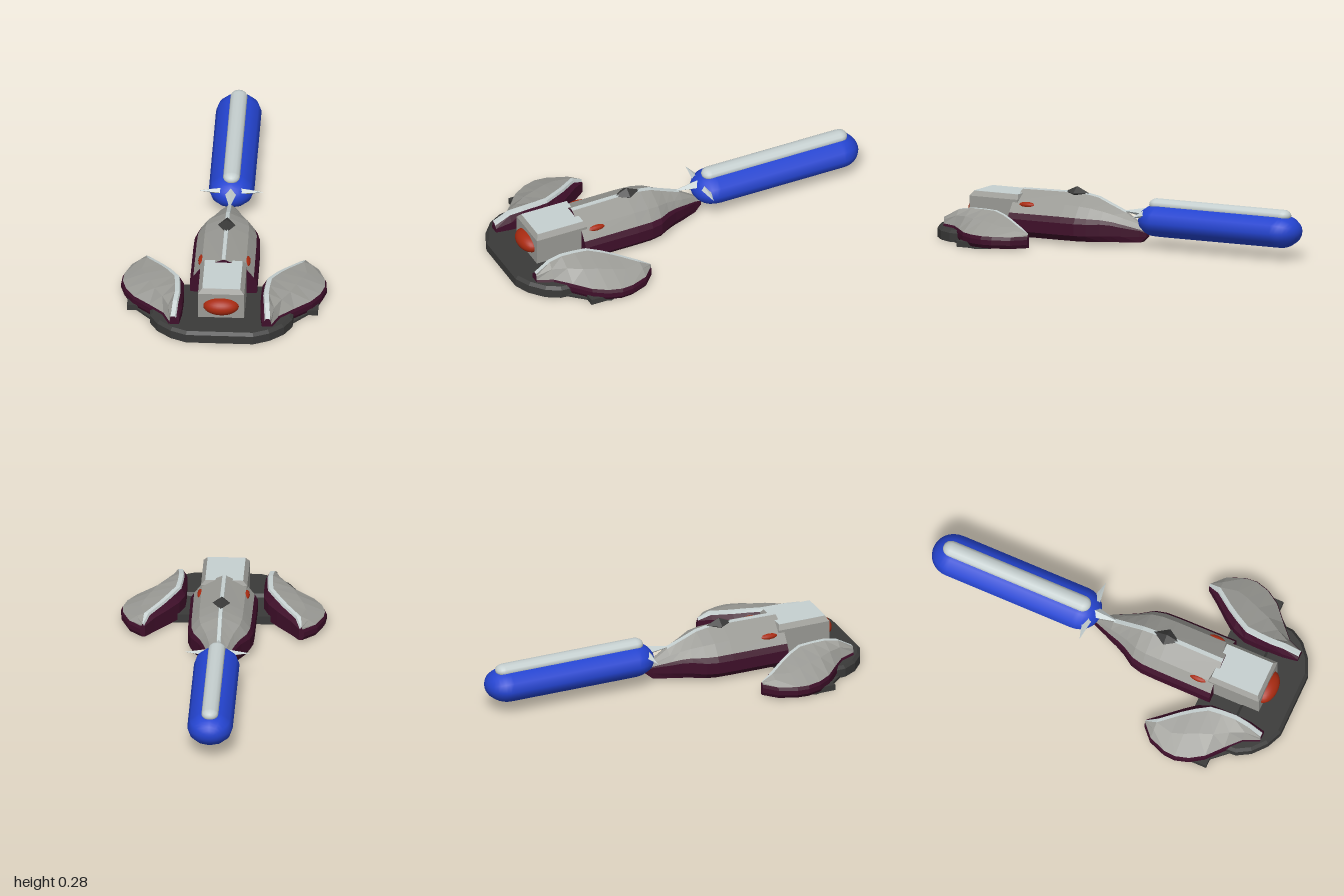
import * as THREE from 'three';

const both = THREE.DoubleSide;
const mats = {
  hullGrey: new THREE.MeshStandardMaterial({ color: 0x9b9b96, side: both }),
  paleTrim: new THREE.MeshStandardMaterial({ color: 0xc6d0d0, side: both }),
  darkPurple: new THREE.MeshStandardMaterial({ color: 0x3f0f2a, side: both }),
  charcoal: new THREE.MeshStandardMaterial({ color: 0x3a3a39, side: both }),
  red: new THREE.MeshStandardMaterial({ color: 0xa82a10 }),
  blue: new THREE.MeshStandardMaterial({ color: 0x2444d0 }),
};

function add(parent, name, geometry, mat, pos = [0, 0, 0], scale = [1, 1, 1]) {
  const m = new THREE.Mesh(geometry, mats[mat]);
  m.name = name;
  m.position.set(...pos);
  m.scale.set(...scale);
  parent.add(m);
  return m;
}

// Faceted skin stretched over rows of equally many points
function loft(rows) {
  const pos = [];
  for (let i = 0; i + 1 < rows.length; i++) {
    for (let j = 0; j + 1 < rows[i].length; j++) {
      const a = rows[i][j], b = rows[i][j + 1], c = rows[i + 1][j + 1], d = rows[i + 1][j];
      pos.push(...a, ...b, ...c, ...a, ...c, ...d);
    }
  }
  const g = new THREE.BufferGeometry();
  g.setAttribute('position', new THREE.Float32BufferAttribute(pos, 3));
  g.computeVertexNormals();
  return g;
}

// Closed horizontal slab from a right-half outline of [x, z], mirrored in x
function slab(half, y0, y1, bevel) {
  const pts = [...half, ...half.slice().reverse().map(([x, z]) => [-x, z])];
  const shape = new THREE.Shape(pts.map(([x, z]) => new THREE.Vector2(x, -z)));
  const g = new THREE.ExtrudeGeometry(shape, {
    depth: y1 - y0 - bevel, bevelEnabled: bevel > 0, bevelThickness: bevel, bevelSize: bevel,
    bevelOffset: -bevel, bevelSegments: 1,
  });
  g.rotateX(-Math.PI / 2);
  g.translate(0, y0, 0);
  // keep the underside flat on the base height
  const p = g.attributes.position;
  for (let i = 0; i < p.count; i++) p.setY(i, Math.max(p.getY(i), y0));
  g.computeVertexNormals();
  return g;
}

function buildBase(group) {
  add(group, 'frontSkirt', slab([[0.17, 0.995], [0.25, 0.96], [0.32, 0.9], [0.36, 0.83], [0.365, 0.75]], 0, 0.06, 0.015), 'charcoal');
  add(group, 'rearDeck', slab([[0.235, 0.76], [0.235, 0.54]], 0, 0.045, 0), 'charcoal');
  add(group, 'underPlate', slab([[0.36, 0.8], [0.46, 0.69], [0.49, 0.61], [0.46, 0.54]], 0, 0.012, 0), 'charcoal');
}

function buildHull(group) {
  // z, half width, top of lower hull, ridge height
  const st = [
    [-0.12, 0.015, 0.07, 0.09], [-0.085, 0.025, 0.08, 0.11], [0, 0.065, 0.095, 0.165],
    [0.05, 0.085, 0.105, 0.185], [0.1, 0.11, 0.11, 0.205], [0.16, 0.15, 0.11, 0.23],
    [0.22, 0.165, 0.11, 0.24], [0.3, 0.168, 0.11, 0.245], [0.6, 0.17, 0.11, 0.24],
  ];
  const lower = st.map(([z, w, yp, yt], i) => {
    const lip = [w * 0.9, yp + (yt - yp) * 0.22], yb = i ? 0.02 : 0.05;
    return [[-lip[0], lip[1], z], [-w, yp, z], [-w, 0.05, z], [-w * 0.85, yb, z],
      [w * 0.85, yb, z], [w, 0.05, z], [w, yp, z], [lip[0], lip[1], z]];
  });
  const upper = st.map(([z, w, yp, yt]) => {
    const y1 = yp + (yt - yp) * 0.22, y2 = yp + (yt - yp) * 0.64;
    return [[-w * 0.9, y1, z], [-w * 0.66, y2, z], [-0.01, yt, z], [0.01, yt, z], [w * 0.66, y2, z], [w * 0.9, y1, z]];
  });
  add(group, 'lowerHull', loft(lower), 'darkPurple');
  add(group, 'upperHull', loft(upper), 'hullGrey');
  // Bulkheads at both ends
  for (const k of [0, st.length - 1]) {
    const ring = [...lower[k], ...upper[k].slice().reverse()];
    add(group, 'hullBulkhead', loft([ring, ring.map(() => [0, 0.08, st[k][0]])]), 'darkPurple');
  }
  // Raised strip along the spine
  const spine = st.slice(2).map(([z, , , y]) => [[-0.011, y, z], [-0.009, y + 0.005, z], [0.009, y + 0.005, z], [0.011, y, z]]);
  add(group, 'spineStrip', loft(spine), 'paleTrim');
  add(group, 'spineCrystal', new THREE.OctahedronGeometry(1), 'charcoal', [0, 0.245, 0.29], [0.045, 0.032, 0.07]);
  for (const s of [-1, 1]) {
    add(group, 'sideLight', new THREE.SphereGeometry(1, 12, 8), 'red', [s * 0.113, 0.178, 0.515], [0.02, 0.016, 0.05]);
  }
}

function buildCockpit(group) {
  const ring = (x, y, z0, z1) => [[-x, y, z0], [x, y, z0], [x, y, z1], [-x, y, z1], [-x, y, z0]];
  add(group, 'cockpitWalls', loft([ring(0.117, 0.05, 0.57, 0.85), ring(0.117, 0.2, 0.57, 0.85), ring(0.096, 0.224, 0.58, 0.835)]), 'hullGrey');
  add(group, 'cockpitRoof', new THREE.BoxGeometry(0.192, 0.004, 0.255), 'paleTrim', [0, 0.223, 0.7075]);
  add(group, 'windscreen', new THREE.SphereGeometry(1, 28, 16), 'red', [0, 0.13, 0.845], [0.091, 0.047, 0.057]);
}

function buildFender(group, s) {
  // z, inner x, ridge x, outer x, ridge height
  const st = [
    [0.35, 0.39, 0.4, 0.415, 0.085], [0.41, 0.345, 0.375, 0.48, 0.115], [0.5, 0.27, 0.305, 0.515, 0.135],
    [0.56, 0.225, 0.265, 0.52, 0.148], [0.63, 0.198, 0.225, 0.5, 0.158], [0.7, 0.196, 0.218, 0.455, 0.16],
    [0.77, 0.196, 0.215, 0.375, 0.16], [0.84, 0.198, 0.222, 0.3, 0.15], [0.92, 0.21, 0.23, 0.265, 0.105],
  ];
  const skirt = st.map(([z, a, r, b, y]) => [
    [s * (r - 0.006), y - 0.012, z], [s * a, 0.06 + (y - 0.06) * 0.5, z], [s * a, 0.012, z],
    [s * (b - 0.012), 0.012, z], [s * b, 0.03, z], [s * b, 0.055, z], [s * (b - 0.008), 0.072, z]]);
  const shell = st.map(([z, a, r, b, y]) => {
    const r2 = Math.min(r + 0.022, b - 0.012), o = b - 0.008;
    return [[s * r2, y, z], [s * (r2 * 0.5 + o * 0.5), 0.072 + (y - 0.072) * 0.62, z], [s * o, 0.072, z]];
  });
  const trim = st.map(([z, a, r, b, y]) => [
    [s * (r - 0.006), y - 0.012, z], [s * r, y, z], [s * Math.min(r + 0.022, b - 0.012), y, z]]);
  const f = new THREE.Group();
  f.name = s > 0 ? 'leftFender' : 'rightFender';
  add(f, 'fenderSkirt', loft(skirt), 'darkPurple');
  add(f, 'fenderShell', loft(shell), 'hullGrey');
  add(f, 'fenderTrim', loft(trim), 'paleTrim');
  for (const k of [0, st.length - 1]) {
    const ring = [...skirt[k], ...shell[k].slice().reverse(), ...trim[k].slice().reverse()];
    add(f, 'fenderEnd', loft([ring, ring.map(() => [s * st[k][2], 0.05, st[k][0]])]), 'darkPurple');
  }
  // Dark vent low on the outer side
  add(f, 'fenderVent', new THREE.BoxGeometry(0.055, 0.03, 0.09), 'charcoal', [s * 0.455, 0.016, 0.675]);
  group.add(f);
}

function buildTail(group) {
  const pod = add(group, 'tailPod', new THREE.CapsuleGeometry(0.115, 0.69, 8, 12), 'blue', [0, 0.14, -0.538], [1, 1, 0.74]);
  pod.rotation.x = Math.PI / 2;
  const rail = add(group, 'tailRail', new THREE.CapsuleGeometry(0.043, 0.725, 6, 12), 'paleTrim', [0, 0.222, -0.538], [1, 1, 0.7]);
  rail.rotation.x = Math.PI / 2;
  // Star-shaped collar: low pyramid above and below a pointed outline
  const star = [[0, 0.03], [0.03, -0.1], [0.165, -0.12], [0.04, -0.155], [0, -0.14],
    [-0.04, -0.155], [-0.165, -0.12], [-0.03, -0.1], [0, 0.03]].map(([x, z]) => [x, 0.172, z]);
  const apex = (y) => star.map(() => [0, y, -0.12]);
  add(group, 'starCollar', loft([apex(0.2), star, apex(0.145)]), 'paleTrim');
}

export function createModel() {
  const model = new THREE.Group();
  model.name = 'hoverCraft';
  buildBase(model);
  buildHull(model);
  buildCockpit(model);
  for (const s of [-1, 1]) buildFender(model, s);
  buildTail(model);
  return model;
}
